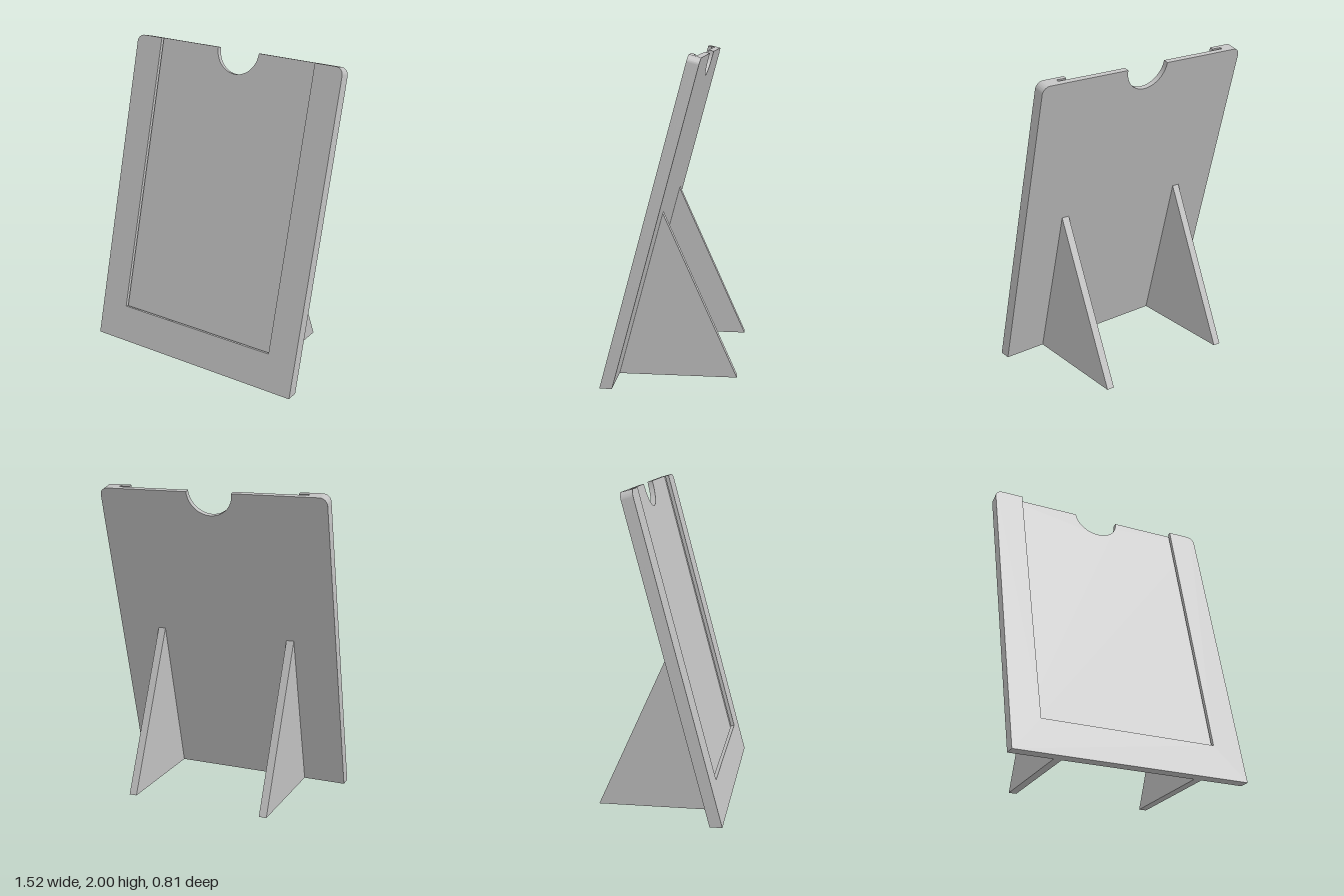
import * as THREE from 'three';
import { toCreasedNormals } from 'three/addons/utils/BufferGeometryUtils.js';

const LEAN = Math.PI / 12;               // backward tilt of the panel
const HALF = 0.762, HEIGHT = 2.0706;     // panel size, measured along its slope
const CORNER = 0.05, NOTCH = 0.152;
const FRONT_Z = 0.407;

// Right, top-rounded outer edge shared by every panel layer, ending at the top left
function outerEdge(shape, topPath) {
  shape.moveTo(-HALF, 0);
  shape.lineTo(HALF, 0);
  shape.lineTo(HALF, HEIGHT - CORNER);
  shape.absarc(HALF - CORNER, HEIGHT - CORNER, CORNER, 0, Math.PI / 2, false);
  topPath(shape);
  shape.lineTo(-HALF + CORNER, HEIGHT);
  shape.absarc(-HALF + CORNER, HEIGHT - CORNER, CORNER, Math.PI / 2, Math.PI, false);
  shape.closePath();
  return shape;
}

// Full sheet with a semicircular thumb notch
const notchedSheet = () => outerEdge(new THREE.Shape(), (s) => {
  s.lineTo(NOTCH, HEIGHT);
  s.absarc(0, HEIGHT, NOTCH, 0, Math.PI, true);
});

// U-shaped sheet, open at the top
const openSheet = (halfWidth, bottom) => outerEdge(new THREE.Shape(), (s) => {
  s.lineTo(halfWidth, HEIGHT);
  s.lineTo(halfWidth, bottom);
  s.lineTo(-halfWidth, bottom);
  s.lineTo(-halfWidth, HEIGHT);
});

// Extrude a layer between two depths and cut its foot level with the ground
function layerGeometry(shape, back, front) {
  const geo = new THREE.ExtrudeGeometry(shape, { depth: front - back, bevelEnabled: false, curveSegments: 24 });
  geo.translate(0, 0, back);
  const p = geo.attributes.position;
  for (let i = 0; i < p.count; i++) {
    if (p.getY(i) < 1e-5) p.setY(i, -p.getZ(i) * Math.tan(LEAN));
  }
  return toCreasedNormals(geo, Math.PI / 6);
}

export function createModel() {
  const model = new THREE.Group();
  model.name = 'photoStand';
  const grey = new THREE.MeshStandardMaterial({ color: 0xc0c0c0 });
  grey.name = 'light grey';

  const add = (parent, name, geometry) => {
    const mesh = new THREE.Mesh(geometry, grey);
    mesh.name = name;
    parent.add(mesh);
    return mesh;
  };

  // Tilted panel: back plate, slot layer for the sheet, overhanging front border
  const panel = new THREE.Group();
  panel.name = 'panel';
  panel.rotation.x = -LEAN;
  panel.position.z = FRONT_Z;
  model.add(panel);
  add(panel, 'backPlate', layerGeometry(notchedSheet(), -0.0745, -0.041));
  add(panel, 'slotLayer', layerGeometry(openSheet(0.637, 0.171), -0.041, -0.024));
  add(panel, 'frontBorder', layerGeometry(openSheet(0.57, 0.238), -0.024, 0));

  // Two triangular support legs
  const width = 0.05;
  const triangle = new THREE.Shape([
    new THREE.Vector2(-0.407, 0),
    new THREE.Vector2(0.33, 0),
    new THREE.Vector2(0.0555, 1.035),
  ]);
  for (const side of [-1, 1]) {
    const leg = new THREE.ExtrudeGeometry(triangle, { depth: width, bevelEnabled: false });
    leg.translate(0, 0, -width / 2);
    leg.rotateY(-Math.PI / 2);
    add(model, side > 0 ? 'leftLeg' : 'rightLeg', leg).position.x = side * 0.457;
  }
  return model;
}
